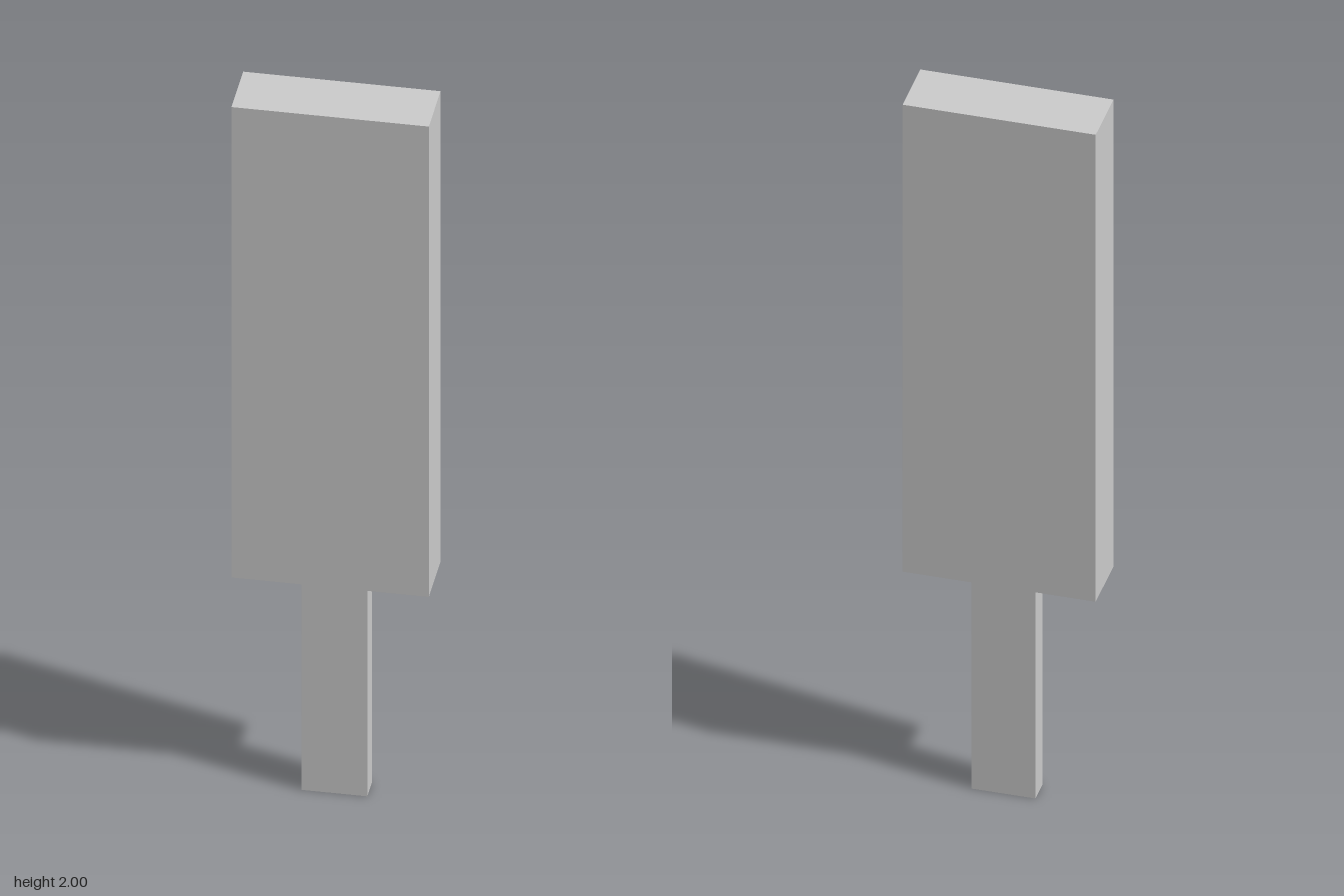
import * as THREE from 'three';

// Box placed by its base height and centre
function block(name, width, height, depth, x, baseY, z) {
  const material = new THREE.MeshStandardMaterial({ color: 0xcccccc, flatShading: true });
  const mesh = new THREE.Mesh(new THREE.BoxGeometry(width, height, depth), material);
  mesh.name = name;
  mesh.position.set(x, baseY + height / 2, z);
  return mesh;
}

export function createModel() {
  const model = new THREE.Group();
  model.name = 'icePop';
  const stickHeight = 0.633;

  // Flat stick, set slightly behind the middle of the bar
  model.add(block('stick', 0.162, stickHeight, 0.064, 0.001, 0, -0.006));

  // Thick rectangular bar on top
  model.add(block('bar', 0.488, 2 - stickHeight, 0.16, 0, stickHeight, 0));

  return model;
}
